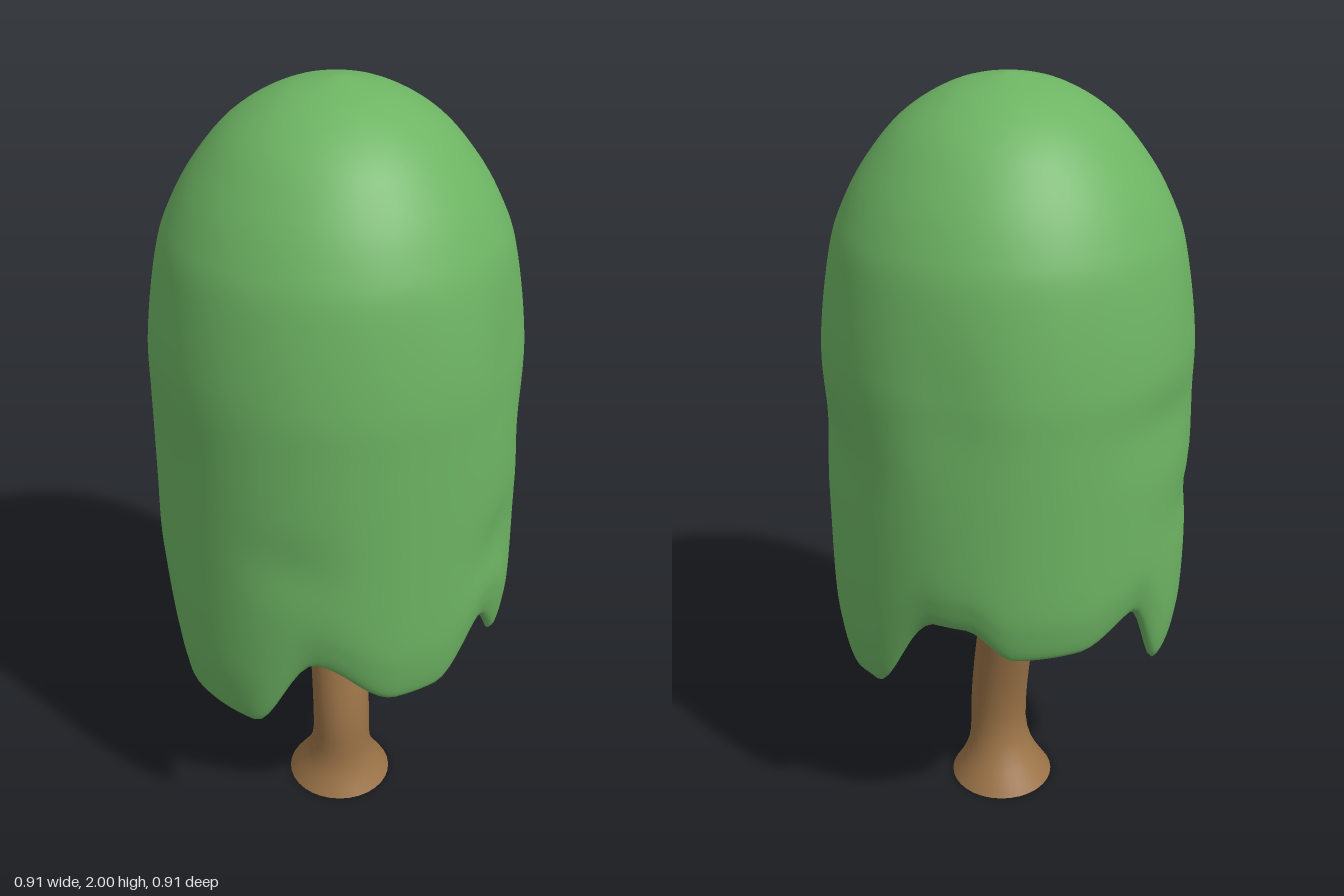
import * as THREE from 'three';
import { mergeVertices, toCreasedNormals } from 'three/addons/utils/BufferGeometryUtils.js';

// Eased interpolation through sorted [key, value] pairs
function ease(keys, k) {
  let i = 0;
  while (i < keys.length - 2 && k > keys[i + 1][0]) i++;
  const [a, va] = keys[i], [b, vb] = keys[i + 1];
  return va + (vb - va) * THREE.MathUtils.smoothstep(k, a, b);
}

// Height of the drooping hem by direction (degrees from the front towards +x)
const HEM = [
  [-19, 0.67], [9, 0.55], [24, 0.55], [46, 0.67], [70, 0.52], [90, 0.5], [104, 0.52],
  [133, 0.77], [144, 0.77], [160, 0.69], [182, 0.69], [204, 0.75], [223, 0.54],
  [240, 0.535], [270, 0.67], [290, 0.45], [318, 0.45], [341, 0.67],
];

// Shallow hollows in the foliage: direction, height, angular width, height width, depth
const DENTS = [
  [50, 0.9, 14, 0.09, 0.014], [50, 1.4, 12, 0.2, 0.012], [90, 1.16, 22, 0.1, 0.015],
  [140, 1.35, 14, 0.17, 0.012], [215, 1.25, 22, 0.08, 0.011], [235, 0.98, 20, 0.07, 0.011],
  [285, 1.15, 16, 0.14, 0.01], [335, 0.97, 14, 0.08, 0.009],
];

const SHOULDER = 1.4; // below this height the skirt stretches to the hem
const BASE = 0.4;     // hem height of the undeformed profile

function canopyGeometry() {
  const curve = (pts, n) =>
    new THREE.SplineCurve(pts.map(([r, y]) => new THREE.Vector2(r, y))).getPoints(n);
  // Lining from the inner top down, round the hem, then up the outside
  const lining = curve([[0, 1.96], [0.22, 1.87], [0.35, 1.7], [0.41, 1.5], [0.425, 1.2],
    [0.425, 0.8], [0.42, 0.55], [0.405, 0.42], [0.413, 0.4]], 40);
  const outside = curve([[0.413, 0.4], [0.428, 0.425], [0.442, 0.5], [0.452, 0.62], [0.454, 0.9],
    [0.454, 1.2], [0.45, 1.4], [0.42, 1.6], [0.386, 1.7], [0.33, 1.8], [0.245, 1.9],
    [0.13, 1.97], [0, 2]], 64);
  lining[0].x = 0;
  outside[outside.length - 1].x = 0;
  let geo = new THREE.LatheGeometry([...lining, ...outside.slice(1)], 120);

  const pos = geo.attributes.position;
  for (let i = 0; i < pos.count; i++) {
    const x = pos.getX(i), z = pos.getZ(i);
    let y = pos.getY(i);
    let deg = THREE.MathUtils.radToDeg(Math.atan2(x, z));
    if (deg < -19) deg += 360;
    if (y < SHOULDER) {
      const hem = ease(HEM, deg);
      y = hem + ((y - BASE) / (SHOULDER - BASE)) * (SHOULDER - hem);
    }
    let r = Math.hypot(x, z), dent = 0;
    for (const [a, h, wa, wh, depth] of DENTS) {
      const da = (((deg - a + 540) % 360) - 180) / wa, dh = (y - h) / wh;
      dent += depth * Math.exp(-da * da - dh * dh);
    }
    const s = r > 0.001 ? (r - dent) / r : 1;
    pos.setXYZ(i, x * s, y, z * s);
  }
  // Weld the seam so the shading runs smoothly all round
  geo.deleteAttribute('uv');
  geo.deleteAttribute('normal');
  geo = mergeVertices(geo, 1e-5);
  geo.computeVertexNormals();
  return geo;
}

function trunkGeometry() {
  // Flared foot, then an even stem
  const profile = [[0, 0], [0.14, 0], [0.121, 0.03], [0.103, 0.06], [0.09, 0.09], [0.081, 0.125]];
  for (let y = 0.17; y < 1.2; y += 0.04) profile.push([0.077, y]);
  profile.push([0, 1.2]);
  const geo = new THREE.LatheGeometry(profile.map(([r, y]) => new THREE.Vector2(r, y)), 32);
  // Bend the stem: a slight bulge forward, then back under the crown
  const bend = [[0, 0.047], [0.18, 0.071], [0.68, -0.012], [1.2, -0.012]];
  const pos = geo.attributes.position;
  for (let i = 0; i < pos.count; i++) pos.setZ(i, pos.getZ(i) + ease(bend, pos.getY(i)));
  return toCreasedNormals(geo, 0.8);
}

export function createModel() {
  const tree = new THREE.Group();
  tree.name = 'tree';
  const add = (name, geometry, color, side) => {
    const mesh = new THREE.Mesh(geometry, new THREE.MeshStandardMaterial({ color, side }));
    mesh.name = name;
    tree.add(mesh);
  };
  add('canopy', canopyGeometry(), 0x6db463, THREE.DoubleSide);
  add('trunk', trunkGeometry(), 0x9b7347, THREE.FrontSide);
  return tree;
}
